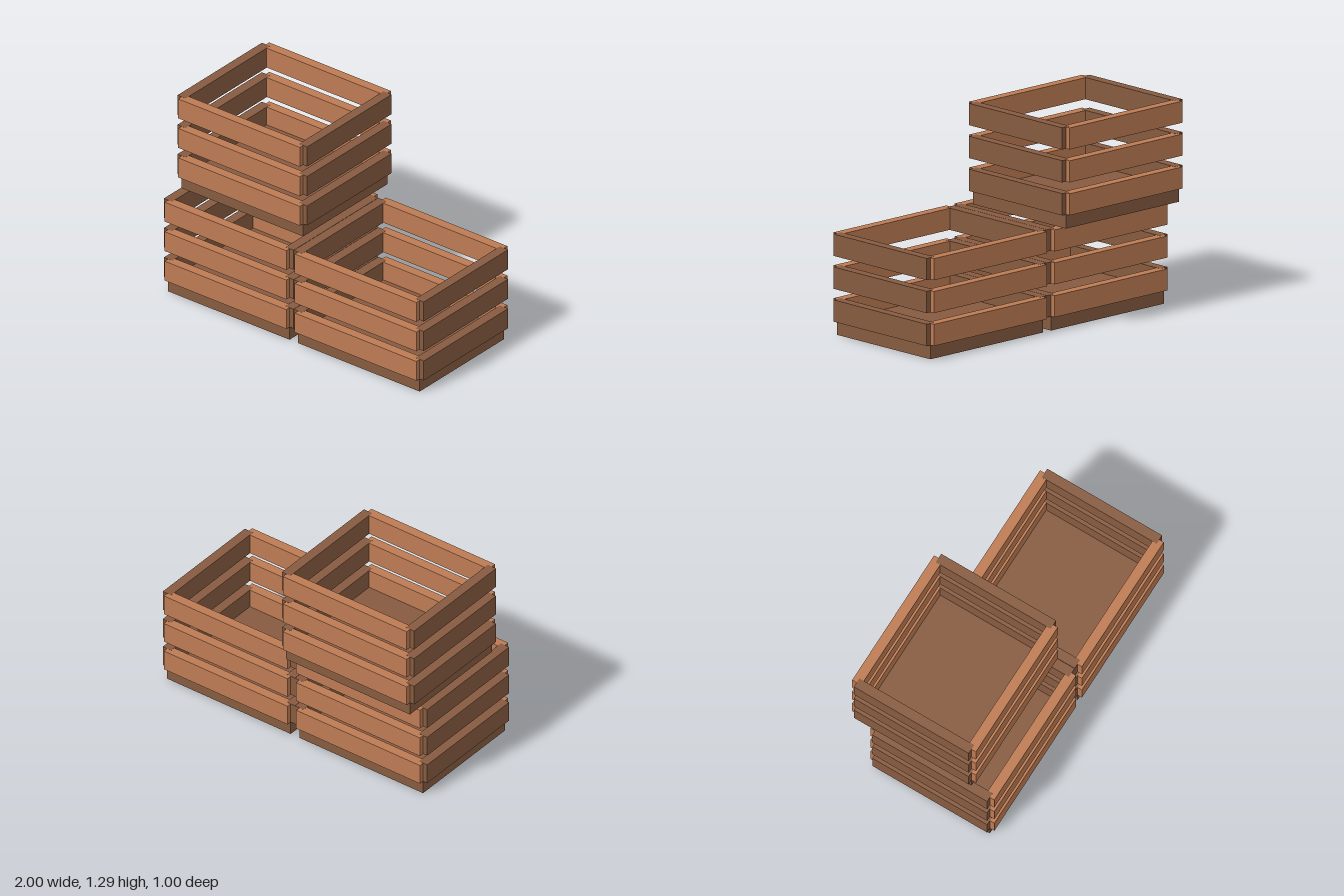
import * as THREE from 'three';

const lightWood = new THREE.MeshStandardMaterial({ name: 'light wood', color: 0xbd7b53 });
const darkWood = new THREE.MeshStandardMaterial({ name: 'dark wood', color: 0x875b40 });

const WIDTH = 0.935, DEPTH = 0.81;          // base board footprint
const THICK = 0.063, SLAT = 0.134, PITCH = 0.204;
const FIRST = 0.155;                        // centre height of the lowest slat row

function board(name, w, h, d, material, x, y, z) {
  const mesh = new THREE.Mesh(new THREE.BoxGeometry(w, h, d), material);
  mesh.name = name;
  mesh.position.set(x, y, z);
  return mesh;
}

// One open crate: solid base and three rows of slats
function crate(name, x, y, z) {
  const group = new THREE.Group();
  group.name = name;
  group.position.set(x, y, z);
  group.add(board('base', WIDTH, 0.1, DEPTH, darkWood, 0, 0.05, 0));
  for (let row = 0; row < 3; row++) {
    const h = FIRST + row * PITCH;
    for (const s of [1, -1]) {
      group.add(board(s > 0 ? 'frontSlat' : 'backSlat', WIDTH, SLAT, THICK, lightWood, 0, h, s * DEPTH / 2));
      // Side slats are a hair taller so the lapped corners stay clean
      group.add(board(s > 0 ? 'leftSlat' : 'rightSlat', THICK, SLAT + 0.001, DEPTH, darkWood, s * WIDTH / 2, h, 0));
    }
  }
  return group;
}

export function createModel() {
  const model = new THREE.Group();
  model.name = 'crateStack';
  model.add(
    crate('lowerRightCrate', -0.5, 0, 0.065),
    crate('lowerLeftCrate', 0.5, 0, 0.065),
    crate('upperCrate', -0.5, 0.656, -0.065),
  );
  return model;
}
